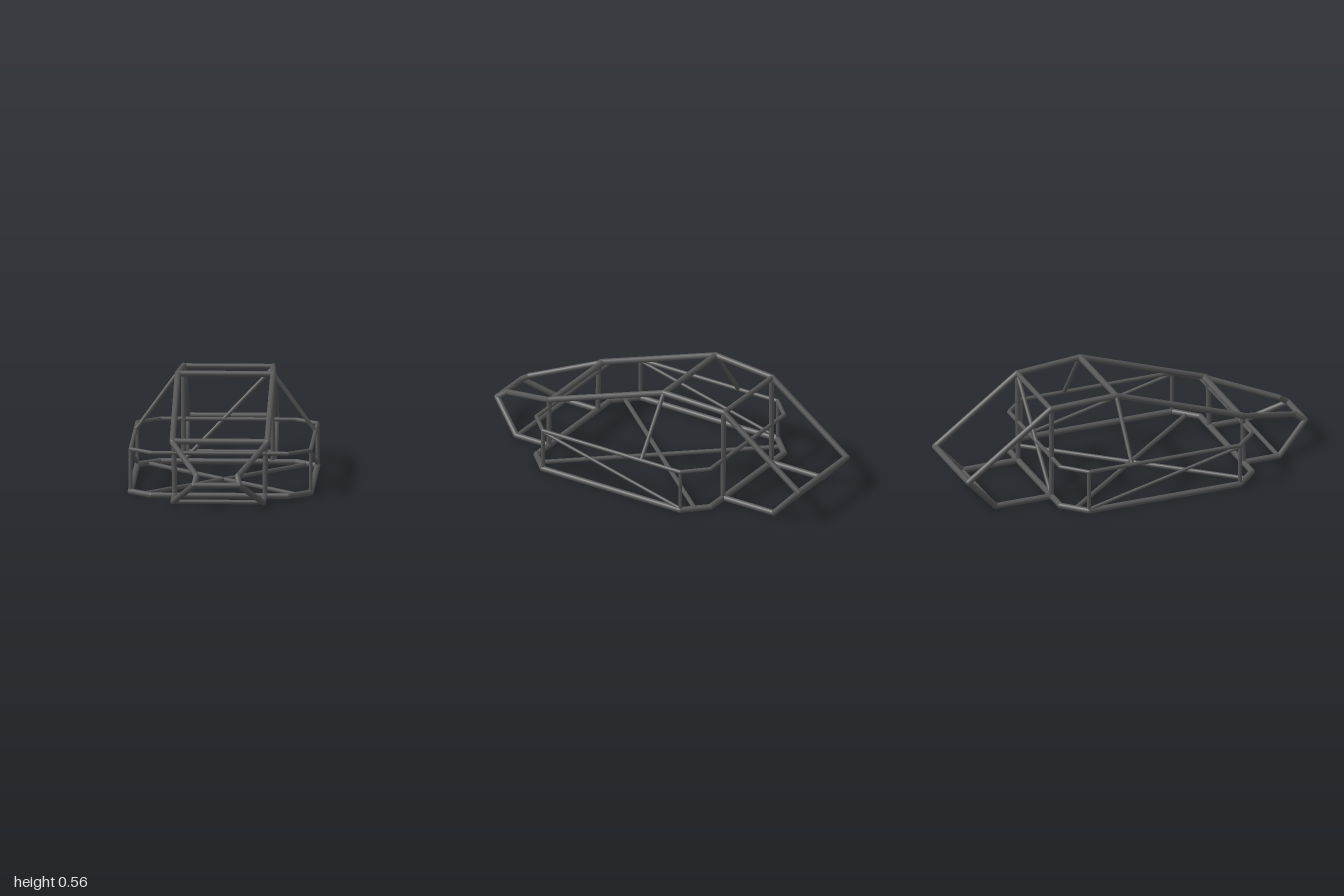
import * as THREE from 'three';

const MAIN = 0.016, MID = 0.0135, THIN = 0.011;
const UP = new THREE.Vector3(0, 1, 0);

export function createModel() {
  const model = new THREE.Group();
  model.name = 'tubeFrame';
  const steel = new THREE.MeshStandardMaterial({ color: 0x555555 });

  // Tube run through a list of points, with rounded joints
  function tube(name, points, radius, closed = false) {
    const run = new THREE.Group();
    run.name = name;
    const p = points.map(q => new THREE.Vector3(...q));
    const count = closed ? p.length : p.length - 1;
    for (let i = 0; i < count; i++) {
      const a = p[i], b = p[(i + 1) % p.length];
      const dir = b.clone().sub(a);
      const bar = new THREE.Mesh(new THREE.CylinderGeometry(radius, radius, dir.length(), 16, 1), steel);
      bar.position.copy(a).add(b).multiplyScalar(0.5);
      bar.quaternion.setFromUnitVectors(UP, dir.normalize());
      bar.name = name + 'Bar';
      run.add(bar);
    }
    for (const q of p) {
      const joint = new THREE.Mesh(new THREE.SphereGeometry(radius, 16, 10), steel);
      joint.position.copy(q);
      joint.name = name + 'Joint';
      run.add(joint);
    }
    model.add(run);
  }

  // Same run on both sides of the frame
  function pair(name, points, radius) {
    tube(name + 'Left', points, radius);
    tube(name + 'Right', points.map(([x, y, z]) => [-x, y, z]), radius);
  }

  // Straight bar across the frame
  const cross = (name, x, y, z, radius) => tube(name, [[-x, y, z], [x, y, z]], radius);

  // Eight-sided floor and waist rings
  const ring = y => [
    [0.36, y, 0.58], [0.475, y, 0.465], [0.475, y, -0.395], [0.36, y, -0.51],
    [-0.36, y, -0.51], [-0.475, y, -0.395], [-0.475, y, 0.465], [-0.36, y, 0.58],
  ];
  tube('floorRing', ring(0.021), MAIN, true);
  tube('waistRing', ring(0.247), THIN, true);

  // Floor cross bracing between the cut corners
  pair('floorBrace', [[0.417, 0.017, 0.522], [-0.417, 0.017, -0.452]], 0.012);

  // Side posts and diagonals
  pair('sideFrontPost', [[0.475, 0.021, 0.465], [0.475, 0.247, 0.465]], 0.01);
  pair('sideRearPost', [[0.475, 0.021, -0.395], [0.475, 0.247, -0.395]], 0.01);
  pair('sideDiagonal', [[0.475, 0.24, 0.465], [0.475, 0.03, -0.395]], 0.009);

  // Windscreen pillars, roof rails and rear loop down to the floor ring
  pair('cabinRail', [
    [0.25, 0.305, 0.565], [0.252, 0.55, -0.15], [0.235, 0.53, -0.515],
    [0.235, 0.187, -0.983], [0.235, 0.021, -0.828], [0.235, 0.021, -0.51],
  ], MAIN);
  cross('dashBar', 0.25, 0.305, 0.555, 0.017);
  cross('roofFrontBar', 0.252, 0.55, -0.15, MAIN);
  cross('roofRearBar', 0.235, 0.53, -0.515, MID);
  cross('tailBar', 0.235, 0.187, -0.983, MAIN);
  cross('tailLowerBar', 0.235, 0.021, -0.828, THIN);
  pair('roofStrut', [[0.255, 0.55, -0.15], [0.475, 0.247, -0.15]], THIN);

  // Bulkhead posts and rear diagonal
  pair('frontPost', [[0.238, 0.021, 0.58], [0.242, 0.3, 0.575]], MID);
  pair('rearPost', [[0.235, 0.021, -0.51], [0.235, 0.53, -0.512]], MID);
  tube('rearDiagonal', [[0.235, 0.52, -0.512], [-0.235, 0.025, -0.512]], THIN);

  // Tapered nose
  pair('noseLoop', [
    [0.25, 0.3, 0.565], [0.108, 0.182, 0.925], [0.12, 0.142, 0.98],
    [0.237, 0.021, 0.785], [0.237, 0.021, 0.58],
  ], 0.0155);
  cross('noseBar', 0.12, 0.142, 0.98, MAIN);
  cross('noseLowerBar', 0.237, 0.021, 0.78, 0.012);

  return model;
}
